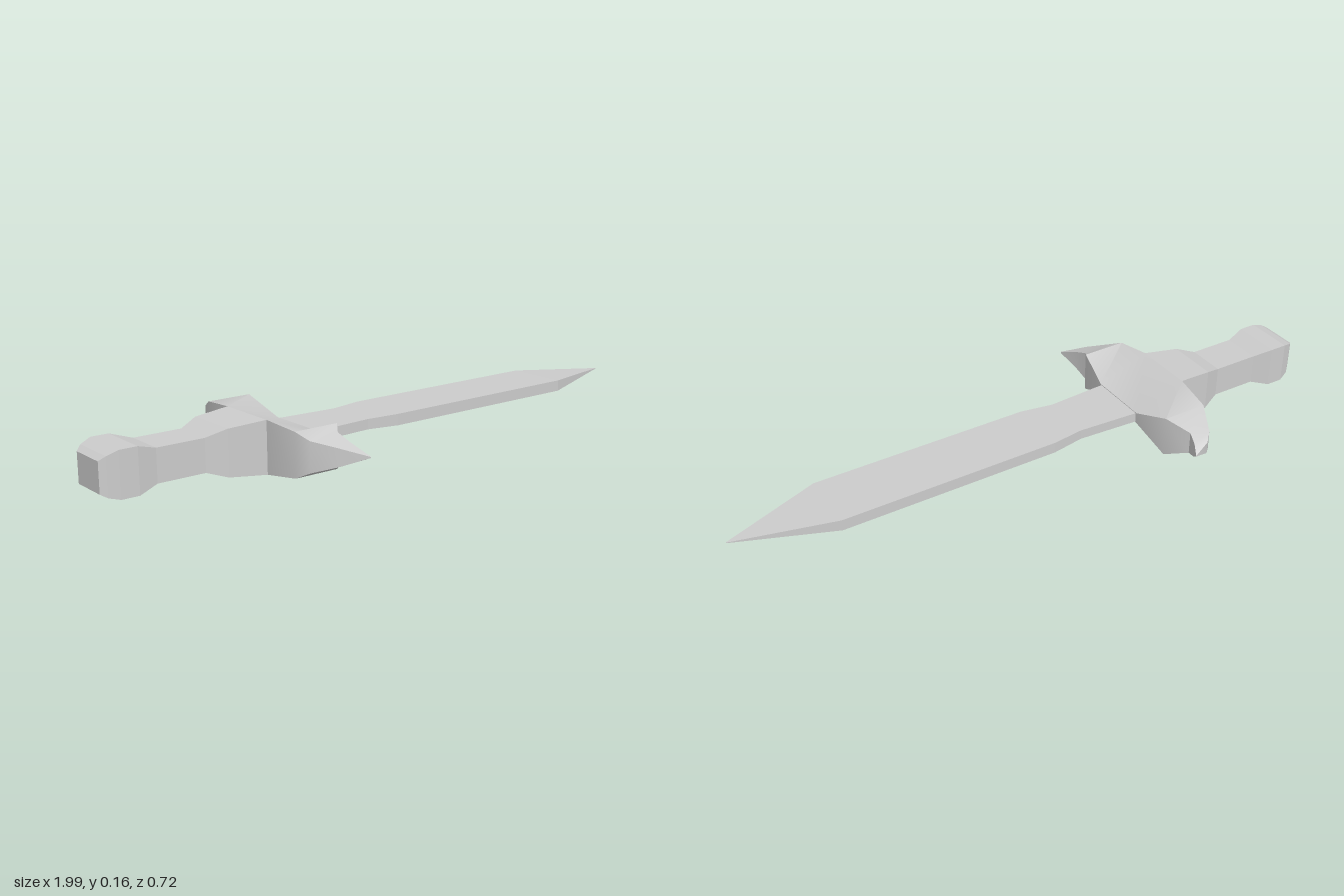
import * as THREE from 'three';
import { toCreasedNormals } from 'three/addons/utils/BufferGeometryUtils.js';

const MID = 0.08; // height of the sword's middle plane

// Skin a row of four-cornered rings, closed at both ends
function loft(rings) {
  const pos = [];
  const tri = (...pts) => pts.forEach((p) => pos.push(...p));
  for (let r = 0; r < rings.length - 1; r++) {
    const a = rings[r], b = rings[r + 1];
    for (let i = 0; i < 4; i++) {
      const j = (i + 1) % 4;
      tri(a[i], a[j], b[j]);
      tri(a[i], b[j], b[i]);
    }
  }
  const s = rings[0], e = rings[rings.length - 1];
  for (let k = 1; k < 3; k++) {
    tri(s[0], s[k + 1], s[k]);
    tri(e[0], e[k], e[k + 1]);
  }
  const g = new THREE.BufferGeometry();
  g.setAttribute('position', new THREE.Float32BufferAttribute(pos, 3));
  g.computeVertexNormals();
  return g;
}

// Rectangular section across the length: x, half height, half width, z offset
const barRing = ([x, h, w, z = 0]) => [
  [x, MID - h, z - w], [x, MID + h, z - w], [x, MID + h, z + w], [x, MID - h, z + w],
];

// Section of the guard: blade-side x, z, half height, then grip-side x, z, half height
const guardRing = ([fx, fz, fh, bx, bz, bh]) => [
  [fx, MID - fh, fz], [fx, MID + fh, fz], [bx, MID + bh, bz], [bx, MID - bh, bz],
];

export function createModel() {
  const group = new THREE.Group();
  const flat = new THREE.MeshStandardMaterial({ color: 0xcccccc, flatShading: true });
  const smooth = new THREE.MeshStandardMaterial({ color: 0xcccccc });
  const add = (name, geometry, material) => {
    const mesh = new THREE.Mesh(geometry, material);
    mesh.name = name;
    group.add(mesh);
  };

  // Pommel
  add('pommel', loft([
    [-1.0, 0.045, 0.06],
    [-0.98, 0.057, 0.073, -0.005],
    [-0.945, 0.068, 0.081, -0.01],
    [-0.89, 0.068, 0.081, -0.01],
    [-0.83, 0.05, 0.063, -0.005],
  ].map(barRing)), flat);

  // Grip, flaring into the guard
  add('grip', loft([
    [-0.83, 0.05, 0.063, -0.005],
    [-0.68, 0.05, 0.063, -0.005],
    [-0.62, 0.07, 0.085, -0.005],
    [-0.505, 0.08, 0.1],
  ].map(barRing)), flat);

  // Guard with a hooked horn at each end, running from back to front
  add('guard', toCreasedNormals(loft([
    [-0.365, -0.362, 0.002, -0.367, -0.362, 0.002],
    [-0.378, -0.335, 0.023, -0.42, -0.345, 0.02],
    [-0.39, -0.297, 0.037, -0.45, -0.315, 0.032],
    [-0.345, -0.23, 0.067, -0.49, -0.23, 0.067],
    [-0.33, -0.1, 0.018, -0.505, -0.1, 0.08],
    [-0.33, 0.1, 0.018, -0.505, 0.1, 0.08],
    [-0.345, 0.213, 0.067, -0.49, 0.213, 0.067],
    [-0.365, 0.243, 0.05, -0.47, 0.255, 0.046],
    [-0.36, 0.29, 0.032, -0.41, 0.31, 0.026],
    [-0.342, 0.36, 0.002, -0.344, 0.36, 0.002],
  ].map(guardRing)), 0.6), smooth);

  // Blade, pinched near the guard and pointed at the far end
  add('blade', loft([
    [-0.33, 0.016, 0.096],
    [-0.13, 0.016, 0.084],
    [-0.025, 0.018, 0.1],
    [0.685, 0.018, 0.1],
    [0.99, 0.001, 0.001],
  ].map(barRing)), flat);

  return group;
}
